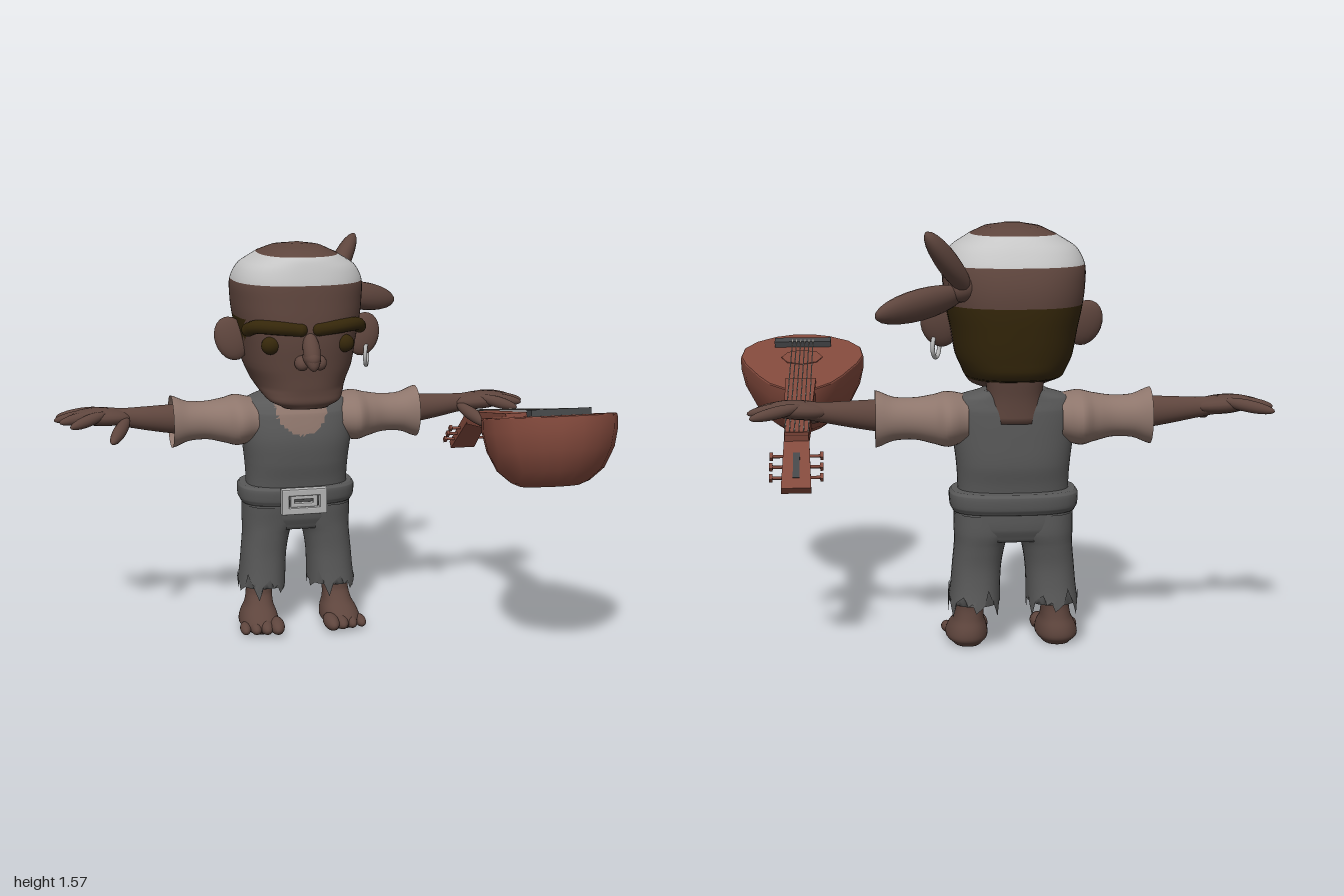
import * as THREE from 'three';

const mat = (name, color, side = THREE.FrontSide) => {
  const m = new THREE.MeshStandardMaterial({ color, side });
  m.name = name;
  return m;
};
const V = (x, y, z) => new THREE.Vector3(x, y, z);

// Surface through equal rings of points, optionally closed; paint(centroid) picks a material index
function skin(rings, { caps = 'both', paint } = {}) {
  const n = rings[0].length, pos = rings.flat(), faces = [], last = (rings.length - 1) * n;
  for (let i = 0; i < rings.length - 1; i++) {
    for (let j = 0; j < n; j++) {
      const a = i * n + j, c = i * n + (j + 1) % n, b = a + n, d = c + n;
      faces.push([a, b, c], [c, b, d]);
    }
  }
  const mid = r => r.reduce((s, p) => s.add(p), V(0, 0, 0)).divideScalar(n);
  if (caps === 'both' || caps === 'bottom') {
    const k = pos.push(mid(rings[0])) - 1;
    for (let j = 0; j < n; j++) faces.push([k, j, (j + 1) % n]);
  }
  if (caps === 'both' || caps === 'top') {
    const k = pos.push(mid(rings[rings.length - 1])) - 1;
    for (let j = 0; j < n; j++) faces.push([k, last + (j + 1) % n, last + j]);
  }
  const g = new THREE.BufferGeometry().setFromPoints(pos), buckets = [];
  for (const f of faces) {
    const c = V(0, 0, 0);
    f.forEach(i => c.addScaledVector(pos[i], 1 / 3));
    const k = paint ? paint(c) : 0;
    (buckets[k] ||= []).push(...f);
  }
  g.setIndex(buckets.flat());
  let start = 0;
  if (paint) buckets.forEach((b, k) => { g.addGroup(start, b.length, k); start += b.length; });
  g.computeVertexNormals();
  return g;
}

// Rounded sections [y, centre x, half width, front z, back z], smoothed along y
function loft(secs, { n = 40, sub = 4, p = 2.3, edit, ...opts } = {}) {
  const at = (i, k) => secs[Math.min(Math.max(i, 0), secs.length - 1)][k];
  const rings = [];
  for (let i = 0; i < secs.length - 1; i++) {
    for (let q = 0; q < sub + (i === secs.length - 2 ? 1 : 0); q++) {
      const t = q / sub, t2 = t * t, t3 = t2 * t;
      const [y, cx, hx, zf, zb] = [0, 1, 2, 3, 4].map(k => {
        const a = at(i, k), b = at(i + 1, k);
        if (k === 0) return a + (b - a) * t;
        const m0 = (b - at(i - 1, k)) / 2, m1 = (at(i + 2, k) - a) / 2;
        return a * (2 * t3 - 3 * t2 + 1) + b * (3 * t2 - 2 * t3) + m0 * (t3 - 2 * t2 + t) + m1 * (t3 - t2);
      });
      rings.push(Array.from({ length: n }, (_, j) => {
        const a = j / n * Math.PI * 2, c = Math.cos(a), s = Math.sin(a);
        const r = (Math.abs(c) ** p + Math.abs(s) ** p) ** (-1 / p);
        return V(cx + hx * r * c, y, (zf + zb) / 2 + (zf - zb) / 2 * r * s);
      }));
    }
  }
  if (edit) edit(rings);
  return skin(rings, opts);
}

// Ellipsoid stretched between two points
function blob(a, b, w, d = w) {
  const A = V(...a), B = V(...b), dir = B.clone().sub(A), len = dir.length();
  const g = new THREE.SphereGeometry(1, 18, 12).scale(w, len / 2, d);
  g.applyQuaternion(new THREE.Quaternion().setFromUnitVectors(V(0, 1, 0), dir.normalize()));
  return g.translate(...A.add(B).multiplyScalar(0.5).toArray());
}

// Box tapering between two ends [half width, bottom, top, z]; the first end has the larger z
function bar(a, b) {
  const g = new THREE.BoxGeometry(2, 1, 1), p = g.attributes.position;
  for (let i = 0; i < p.count; i++) {
    const e = p.getZ(i) > 0 ? a : b;
    p.setXYZ(i, p.getX(i) * e[0], p.getY(i) > 0 ? e[2] : e[1], e[3]);
  }
  g.computeVertexNormals();
  return g;
}

function frame(w, h, w2, h2, depth) {
  const rect = (T, x, y) => new T([[-x, -y], [x, -y], [x, y], [-x, y]].map(q => new THREE.Vector2(q[0] / 2, q[1] / 2)));
  const s = rect(THREE.Shape, w, h);
  s.holes.push(rect(THREE.Path, w2, h2));
  return new THREE.ExtrudeGeometry(s, { depth, bevelSize: 0.005, bevelThickness: 0.005, bevelSegments: 2 });
}

export function createModel() {
  const skinM = mat('skin', 0x5e453d), white = mat('headband white', 0xc6c6c6), hair = mat('hair', 0x35270a);
  const cloth = mat('grey cloth', 0x585858, THREE.DoubleSide), linen = mat('linen', 0x8e766c, THREE.DoubleSide);
  const silver = mat('silver', 0xb4b4b4), wood = mat('red wood', 0x82493c), dark = mat('dark fittings', 0x444648);
  const string = mat('strings', 0x96928a);
  const model = new THREE.Group(), body = new THREE.Group();
  body.name = 'figure';
  body.position.x = -0.04;
  model.add(body);
  const add = (name, geo, m, parent = body) => {
    const mesh = new THREE.Mesh(geo, m);
    mesh.name = name;
    parent.add(mesh);
    return mesh;
  };

  // Head with painted band and hair
  add('head', loft([
    [0.945, 0, 0.09, -0.085, -0.22], [0.97, 0, 0.14, -0.07, -0.28], [1.0, 0, 0.165, -0.068, -0.42],
    [1.03, 0, 0.182, -0.065, -0.56], [1.1, 0, 0.212, -0.06, -0.59], [1.2, 0, 0.23, -0.05, -0.61],
    [1.29, 0, 0.248, -0.05, -0.622], [1.36, 0, 0.256, -0.055, -0.62], [1.43, 0, 0.256, -0.062, -0.6],
    [1.49, 0, 0.225, -0.078, -0.565], [1.535, 0, 0.155, -0.1, -0.52], [1.56, 0, 0.1, -0.16, -0.44],
    [1.573, 0, 0.03, -0.26, -0.34]], {
    n: 72, p: 2.5,
    paint: c => c.y > 1.43 && c.y < 1.535 ? 1
      : c.y < 1.29 && c.y > 1.015 && (c.z < -0.37 || (c.y > 1.213 && c.z < -0.2)) ? 2 : 0,
  }), [skinM, white, hair]);
  add('neck', loft([[0.86, 0, 0.11, -0.3, -0.48], [0.95, 0, 0.1, -0.31, -0.485], [1.04, 0, 0.11, -0.29, -0.5]]), skinM);

  // Nose with nostrils
  add('nose', blob([0, 1.25, -0.075], [0, 1.115, 0.025], 0.034, 0.036), skinM);
  add('noseTip', blob([0, 1.17, -0.08], [0, 1.15, 0.032], 0.035, 0.035), skinM);
  for (const s of [1, -1]) {
    add('nostril', blob([s * 0.036, 1.15, -0.075], [s * 0.034, 1.12, -0.015], 0.028), skinM);
    add('eye', blob([s * 0.147, 1.165, -0.098], [s * 0.147, 1.235, -0.09], 0.037, 0.03), hair);
    // Heavy brow
    const pts = [V(s * 0.035, 1.262, -0.06), V(s * 0.12, 1.27, -0.07), V(s * 0.2, 1.27, -0.12), V(s * 0.222, 1.255, -0.16)];
    add('brow', new THREE.TubeGeometry(new THREE.CatmullRomCurve3(pts), 16, 0.027, 12), hair);
    for (const q of [pts[0], pts[3]]) add('browEnd', new THREE.SphereGeometry(0.027, 12, 10).translate(q.x, q.y, q.z), hair);
    // Ear
    add('ear', blob([s * 0.24, 1.12, -0.27], [s * 0.295, 1.285, -0.3], 0.066, 0.03), skinM);
  }
  const ring = add('earring', new THREE.TorusGeometry(0.042, 0.008, 10, 28), silver);
  ring.position.set(0.278, 1.12, -0.27);
  ring.rotation.y = Math.PI / 2 - 0.35;

  // Headband knot and tails
  add('knot', blob([0.15, 1.38, -0.5], [0.24, 1.34, -0.57], 0.05), skinM);
  add('upperTail', blob([0.17, 1.34, -0.52], [0.33, 1.56, -0.7], 0.04, 0.055), skinM);
  add('lowerTail', blob([0.19, 1.34, -0.52], [0.505, 1.28, -0.7], 0.062, 0.045), skinM);

  // Vest with open neckline
  add('vest', loft([
    [0.56, 0, 0.205, -0.205, -0.455], [0.62, 0, 0.205, -0.2, -0.46], [0.7, 0, 0.21, -0.185, -0.475],
    [0.8, 0, 0.222, -0.18, -0.475], [0.9, 0, 0.225, -0.2, -0.47], [0.945, 0, 0.2, -0.23, -0.46],
    [0.975, 0, 0.12, -0.28, -0.46]], {
    n: 96, sub: 8, p: 2.6,
    paint: c => c.z > -0.33 && (c.x / 0.105) ** 2 + ((c.y - 0.93) / 0.11) ** 2 < 1 ? 1 : 0,
  }), [cloth, linen]);

  // Trousers, belt and buckle
  add('hips', loft([[0.42, 0, 0.205, -0.235, -0.46], [0.47, 0, 0.218, -0.215, -0.48], [0.58, 0, 0.222, -0.205, -0.48]], { p: 2.8 }), cloth);
  add('belt', loft([[0.525, 0, 0.225, -0.205, -0.485], [0.545, 0, 0.235, -0.195, -0.497],
    [0.59, 0, 0.237, -0.19, -0.5], [0.603, 0, 0.228, -0.2, -0.49]], { p: 2.8 }), cloth);
  add('buckle', frame(0.175, 0.095, 0.135, 0.058, 0.025), silver).position.set(0, 0.553, -0.187);
  add('buckleInner', frame(0.1, 0.04, 0.085, 0.024, 0.015), silver).position.set(0, 0.553, -0.187);

  for (const s of [1, -1]) {
    // Trouser leg with torn hem
    add('trouserLeg', loft([
      [0.16, s * 0.146, 0.096, -0.212, -0.473], [0.24, s * 0.141, 0.092, -0.22, -0.46],
      [0.32, s * 0.135, 0.091, -0.225, -0.455], [0.4, s * 0.124, 0.095, -0.222, -0.465],
      [0.45, s * 0.112, 0.108, -0.218, -0.475], [0.52, s * 0.112, 0.108, -0.21, -0.475]], {
      p: 2.4, caps: 'none',
      edit: r => r[0].forEach((v, j) => { v.y = 0.13 + 0.075 * Math.abs((j + 3) % 6 - 3) / 3 + 0.012 * (j % 4); }),
    }), cloth);
    // Bare foot
    add('foot', loft([
      [0.0, s * 0.168, 0.055, -0.18, -0.375], [0.025, s * 0.17, 0.078, -0.15, -0.4], [0.06, s * 0.168, 0.074, -0.17, -0.4],
      [0.1, s * 0.164, 0.058, -0.225, -0.385], [0.15, s * 0.16, 0.053, -0.26, -0.378], [0.26, s * 0.155, 0.06, -0.26, -0.39]]), skinM);
    for (let i = 0; i < 4; i++) {
      const x = s * (0.11 + i * 0.042), r = 0.031 - i * 0.003;
      add('toe', blob([x, r + 0.01, -0.24], [x + s * 0.006, r, -0.11 - i * 0.013], r), skinM);
    }

    // Arm parts run along local y, turned to point sideways; sections [reach, height, half height, front z, back z]
    const limb = (name, secs, m, opts) => {
      const mesh = add(name, loft(secs.map(q => [q[0], -s * q[1], ...q.slice(2)]), opts), m);
      mesh.rotation.z = -s * Math.PI / 2;
    };
    limb('sleeve', [[0.17, 0.865, 0.085, -0.22, -0.46], [0.24, 0.862, 0.1, -0.2, -0.495], [0.29, 0.862, 0.09, -0.235, -0.46],
      [0.36, 0.865, 0.077, -0.263, -0.433], [0.44, 0.865, 0.08, -0.263, -0.433], [0.505, 0.865, 0.105, -0.253, -0.442]], linen, { p: 2.1, caps: 'none' });
    limb('arm', [[0.25, 0.868, 0.06, -0.285, -0.405], [0.5, 0.877, 0.058, -0.29, -0.395], [0.6, 0.884, 0.048, -0.298, -0.388],
      [0.7, 0.892, 0.037, -0.308, -0.382], [0.76, 0.9, 0.035, -0.295, -0.39]], skinM, { p: 2 });
    // Hand
    add('palm', blob([s * 0.66, 0.893, -0.34], [s * 0.9, 0.908, -0.335], 0.036, 0.068), skinM);
    const tips = [[0.955, 0.885, -0.435, -0.375], [0.968, 0.89, -0.35, -0.345], [0.95, 0.89, -0.3, -0.32], [0.912, 0.88, -0.24, -0.3]];
    for (const [x, y, z, z0] of tips) add('finger', blob([s * 0.765, 0.92, z0], [s * x, y, z], 0.023), skinM);
    add('thumb', blob([s * 0.68, 0.89, -0.32], [s * 0.76, 0.83, -0.15], 0.026), skinM);
  }

  // Lute, neck along -z, tilted so the bowl end rises
  const lute = new THREE.Group();
  lute.name = 'lute';
  lute.position.set(0.748, 0.908, 0.075);
  lute.rotation.x = -0.213;
  model.add(lute);
  const half = [[0.055, 0], [0.12, 0.06], [0.165, 0.14], [0.225, 0.28], [0.248, 0.37], [0.238, 0.47], [0.19, 0.55], [0.11, 0.61], [0.04, 0.635]];
  const outline = [...half, ...half.map(([x, z]) => [-x, z]).reverse()];
  const layer = (y, k) => outline.map(([x, z]) => V(x * k, y, 0.35 + (z - 0.35) * k));
  add('bowl', skin([[-0.255, 0.44], [-0.24, 0.58], [-0.195, 0.79], [-0.12, 0.94], [-0.05, 1], [0, 1]].map(q => layer(...q)), { caps: 'bottom' }), wood, lute);
  const board = skin([layer(-0.002, 1), layer(0.004, 0.985)]).toNonIndexed();
  board.computeVertexNormals();
  add('soundboard', board, wood, lute);
  add('rosette', new THREE.CylinderGeometry(0.083, 0.083, 0.006, 8), wood, lute).position.set(0, 0.004, 0.35);
  add('neck', bar([0.06, -0.06, 0.016, 0.08], [0.043, -0.017, 0.03, -0.52]), wood, lute);
  add('fingerboard', bar([0.06, 0, 0.018, 0.08], [0.045, 0.02, 0.034, -0.5]), wood, lute);
  add('bridge', bar([0.115, 0, 0.028, 0.525], [0.115, 0, 0.028, 0.475]), dark, lute);
  for (let i = 0; i < 6; i++) {
    const str = add('string', bar([0.002, 0.024, 0.028, 0.5], [0.002, 0.035, 0.039, -0.5]), string, lute);
    str.position.x = -0.042 + i * 0.0168;
  }
  // Bent headstock with pegs
  const head = new THREE.Group();
  head.name = 'headstock';
  head.position.set(0, 0.028, -0.48);
  head.rotation.x = -0.5;
  lute.add(head);
  add('headPlate', bar([0.044, -0.04, 0, 0], [0.053, -0.032, 0, -0.255]), wood, head);
  add('slot', bar([0.012, 0, 0.003, -0.1], [0.012, 0, 0.003, -0.21]), dark, head);
  for (const s of [1, -1]) {
    for (let i = 0; i < 3; i++) {
      const z = -0.1 - i * 0.048;
      add('peg', new THREE.CylinderGeometry(0.006, 0.006, 0.045, 8).rotateZ(Math.PI / 2).translate(s * 0.067, -0.018, z), wood, head);
      add('pegKnob', new THREE.BoxGeometry(0.012, 0.018, 0.024).translate(s * 0.09, -0.018, z), wood, head);
    }
  }
  return model;
}
